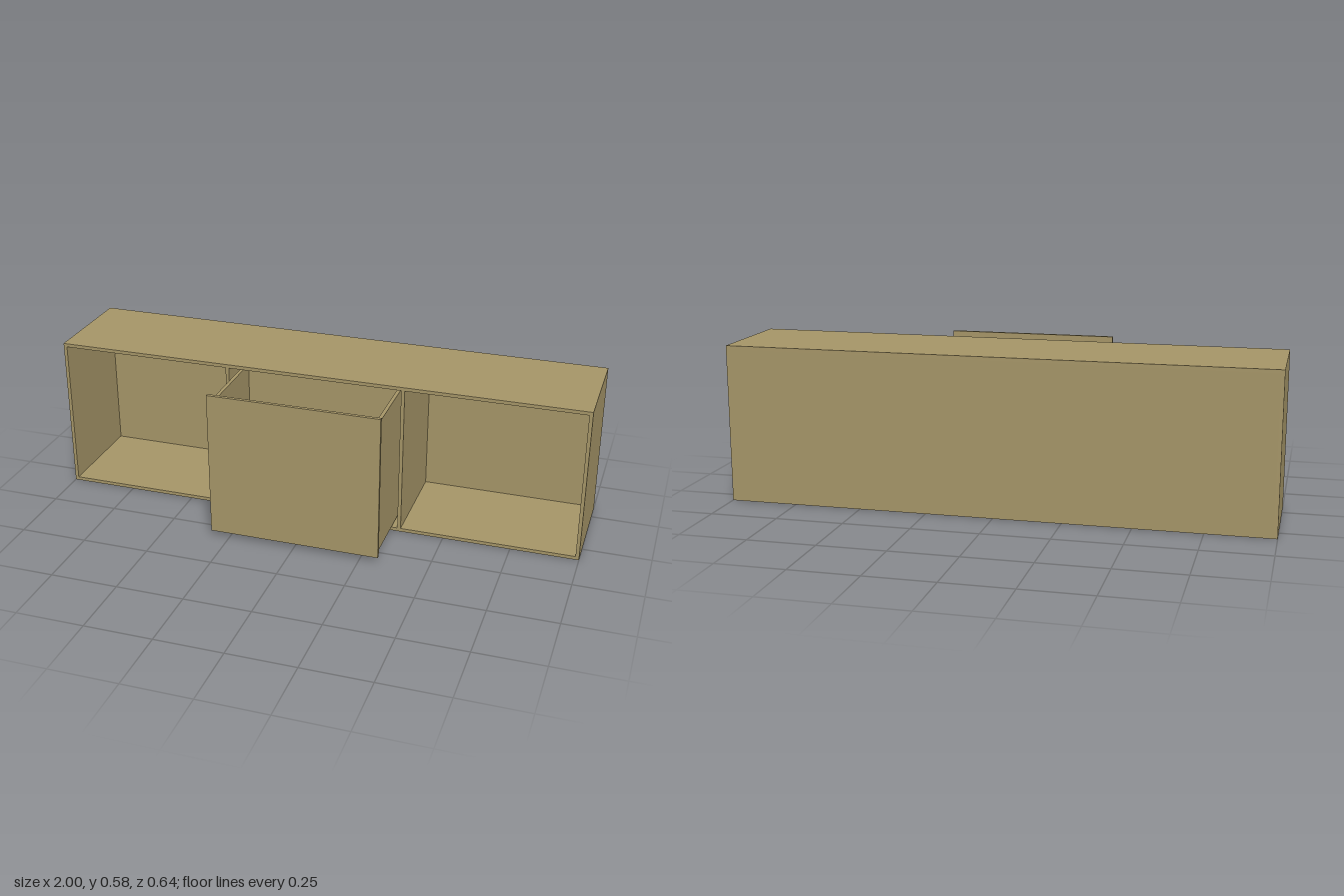
import * as THREE from 'three';

const T = 0.013; // board thickness
const wood = new THREE.MeshStandardMaterial({ color: 0xa69668 });

// Board given by its min and max along each axis
function board(name, [x0, x1], [y0, y1], [z0, z1]) {
  const mesh = new THREE.Mesh(new THREE.BoxGeometry(x1 - x0, y1 - y0, z1 - z0), wood);
  mesh.name = name;
  mesh.position.set((x0 + x1) / 2, (y0 + y1) / 2, (z0 + z1) / 2);
  return mesh;
}

// Open-fronted case with three compartments
function createCabinet() {
  const g = new THREE.Group();
  g.name = 'cabinet';
  const H = 0.585, back = -0.32, front = 0.08;
  g.add(
    board('bottomPanel', [-1, 1], [0, T], [back, front]),
    board('topPanel', [-1, 1], [H - T, H], [back, front]),
    board('backPanel', [-1 + T, 1 - T], [T, H - T], [back, back + T]),
    board('leftSide', [1 - T, 1], [T, H - T], [back, front]),
    board('rightSide', [-1, -1 + T], [T, H - T], [back, front])
  );
  for (const [name, x] of [['leftDivider', 0.333], ['rightDivider', -0.333]]) {
    g.add(board(name, [x - T / 2, x + T / 2], [T, H - T], [back + T, front]));
  }
  return g;
}

// Middle drawer, pulled part of the way out
function createDrawer() {
  const g = new THREE.Group();
  g.name = 'drawer';
  const W = 0.308, y0 = 0.022, y1 = 0.543, back = -0.053, front = 0.307;
  g.add(
    board('drawerFront', [-0.319, 0.319], [0.02, 0.567], [front, front + T]),
    board('drawerLeftSide', [W - T, W], [y0, y1], [back, front]),
    board('drawerRightSide', [-W, -W + T], [y0, y1], [back, front]),
    board('drawerBack', [-W + T, W - T], [y0, y1], [back, back + T]),
    board('drawerBottom', [-W + T, W - T], [y0, y0 + T], [back + T, front])
  );
  return g;
}

export function createModel() {
  const model = new THREE.Group();
  model.name = 'cabinetWithDrawer';
  model.add(createCabinet(), createDrawer());
  return model;
}
